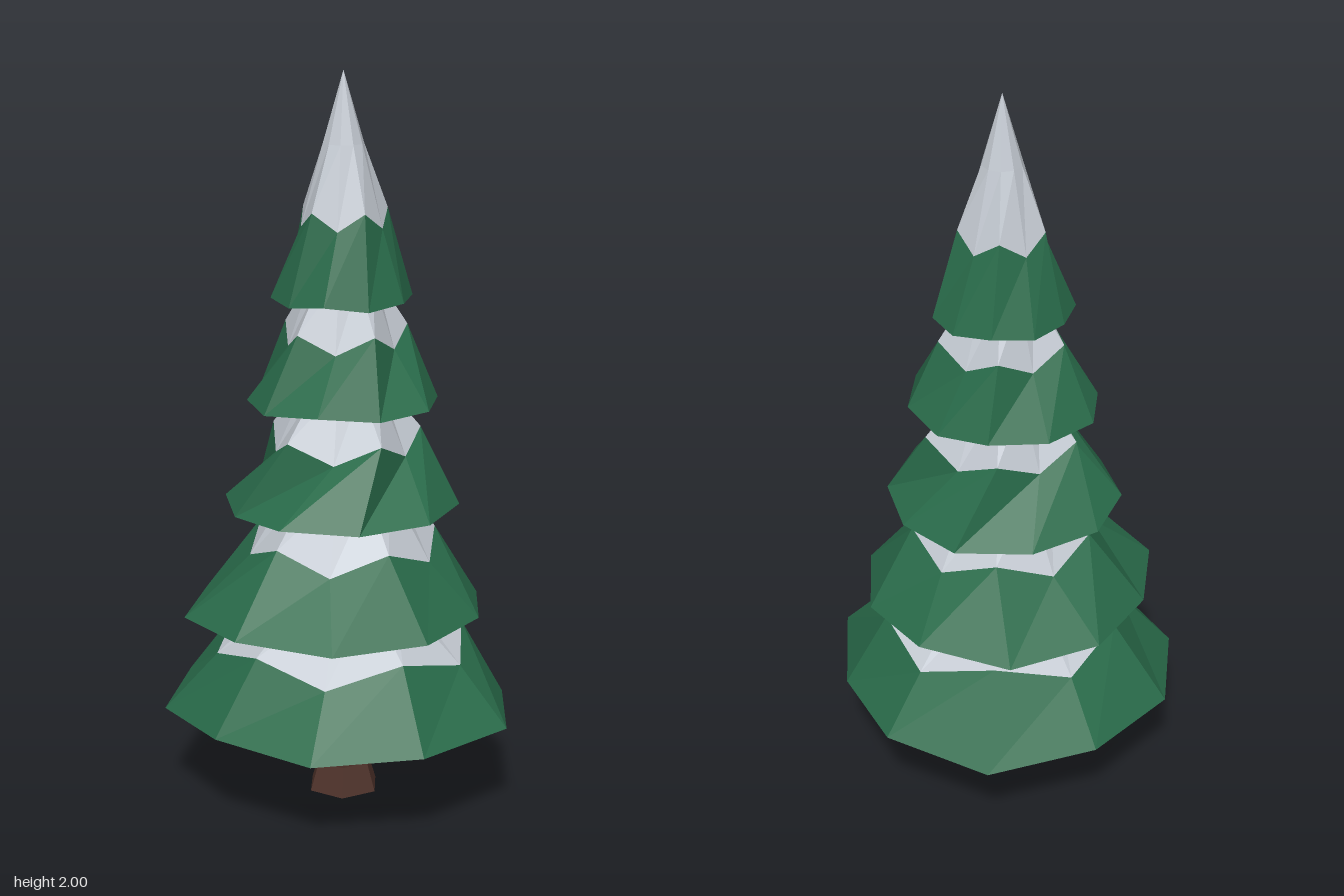
import * as THREE from 'three';

const material = (name, color) => Object.assign(new THREE.MeshStandardMaterial({ color }), { name });

// Each tier: uneven rim corners (x, z) and rim height; the corner facing front;
// [radius, height] of the snow line's peaks, its dips and the hidden top ring
const TIERS = [
  { rim: [[0.01, -0.49], [0.31, -0.415], [0.465, -0.145], [0.427, 0.15], [0.28, 0.41], [-0.02, 0.485], [-0.3, 0.38], [-0.45, 0.12], [-0.465, -0.175], [-0.28, -0.41]],
    y: 0.26, front: 5, peak: [0.335, 0.467], dip: [0.352, 0.415], top: [0.15, 0.6] },
  { rim: [[-0.045, -0.415], [0.21, -0.37], [0.37, -0.165], [0.38, 0.08], [0.26, 0.29], [0.03, 0.412], [-0.225, 0.36], [-0.41, 0.165], [-0.433, -0.105], [-0.27, -0.305]],
    y: 0.542, front: 5, peak: [0.255, 0.75], dip: [0.258, 0.695], top: [0.14, 0.89] },
  { rim: [[-0.1, -0.317], [0.1, -0.305], [0.28, -0.205], [0.315, 0], [0.26, 0.18], [0.09, 0.315], [-0.11, 0.295], [-0.29, 0.19], [-0.32, -0.015], [-0.26, -0.2]],
    y: 0.835, front: 6, peak: [0.213, 1.035], dip: [0.185, 0.982], top: [0.1, 1.17] },
  { rim: [[-0.135, -0.235], [0.015, -0.25], [0.165, -0.19], [0.24, -0.06], [0.235, 0.1], [0.13, 0.235], [-0.025, 0.25], [-0.175, 0.185], [-0.26, 0.045], [-0.235, -0.11]],
    y: 1.12, front: 6, peak: [0.174, 1.322], dip: [0.15, 1.272], top: [0.085, 1.46] },
  { rim: [[-0.085, -0.165], [0.02, -0.185], [0.125, -0.145], [0.183, -0.05], [0.183, 0.05], [0.1, 0.15], [-0.02, 0.178], [-0.125, 0.125], [-0.178, 0.03], [-0.172, -0.09]],
    y: 1.397, front: 6, peak: [0.119, 1.638], dip: [0.114, 1.592], top: [0.055, 1.81], apex: 2 },
];

// Flat-shaded mesh from a list of corner triples
function facets(name, points, mat) {
  const geometry = new THREE.BufferGeometry().setFromPoints(points);
  geometry.computeVertexNormals();
  const mesh = new THREE.Mesh(geometry, mat);
  mesh.name = name;
  return mesh;
}

function makeTier(t, index, green, darkGreen, white) {
  const foliage = [], underside = [], snow = [];
  const count = t.rim.length;
  // Rim corners rise and fall slightly
  const rim = t.rim.map(([x, z], i) => new THREE.Vector3(x, t.y + 0.007 * Math.cos(2.5 * (i - 2)), z));
  const onRing = (i, [radius, y]) =>
    new THREE.Vector3().setFromCylindricalCoords(radius, ((t.front - i) / count) * Math.PI * 2, y);
  // Snow line alternates between peaks and dips
  const snowLine = rim.map((_, i) => onRing(i, (i - t.front) % 2 === 0 ? t.peak : t.dip));
  const top = rim.map((_, i) => onRing(i, t.top));
  const centre = new THREE.Vector3(0, t.y, 0);

  for (let i = 0; i < count; i++) {
    const j = (i + 1) % count;
    foliage.push(rim[j], rim[i], snowLine[i], rim[j], snowLine[i], snowLine[j]);
    underside.push(centre, rim[i], rim[j]);
    snow.push(snowLine[j], snowLine[i], top[i], snowLine[j], top[i], top[j]);
    if (t.apex) snow.push(top[j], top[i], new THREE.Vector3(0, t.apex, 0));
  }
  const tier = new THREE.Group();
  tier.name = `branchTier${index + 1}`;
  tier.add(
    facets('foliage', foliage, green),
    facets('underside', underside, darkGreen),
    facets('snow', snow, white),
  );
  return tier;
}

export function createModel() {
  const green = material('pine green', 0x296b4a);
  const darkGreen = material('shaded green', 0x1b4433);
  const white = material('snow white', 0xc4cad2);
  const brown = material('bark brown', 0x4e322a);
  const tree = new THREE.Group();
  tree.name = 'snowyPineTree';

  // Six-sided trunk flaring at the foot
  const profile = [[0, 0], [0.103, 0], [0.078, 0.08], [0.062, 0.3], [0, 0.3]].map((p) => new THREE.Vector2(...p));
  const trunkShape = new THREE.LatheGeometry(profile, 6, Math.PI / 6).toNonIndexed();
  trunkShape.computeVertexNormals();
  const trunk = new THREE.Mesh(trunkShape, brown);
  trunk.name = 'trunk';
  tree.add(trunk);

  TIERS.forEach((t, i) => tree.add(makeTier(t, i, green, darkGreen, white)));
  return tree;
}
